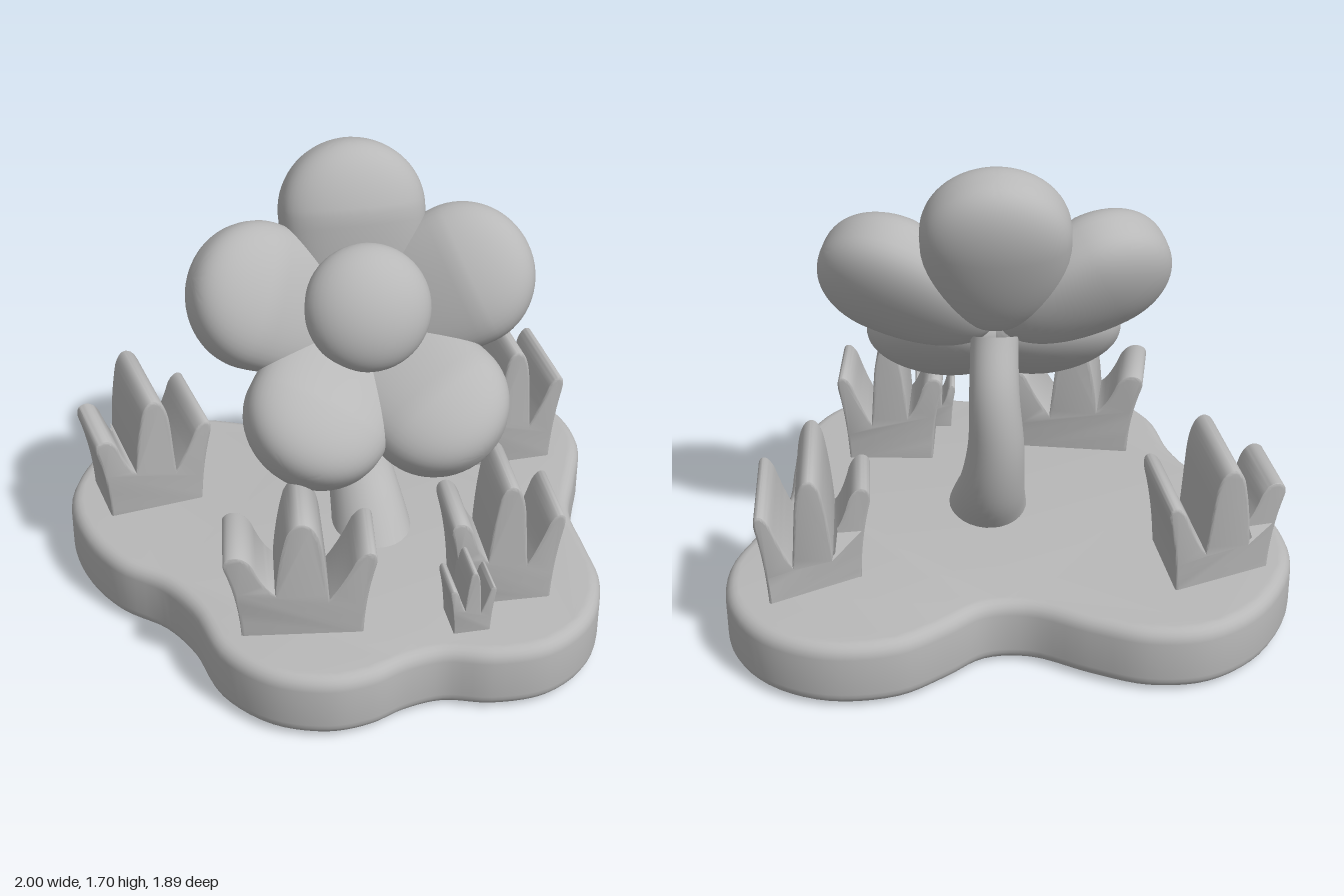
import * as THREE from 'three';
import { toCreasedNormals } from 'three/addons/utils/BufferGeometryUtils.js';

const clay = new THREE.MeshStandardMaterial({ color: 0xb8b8b8 });
clay.name = 'clay grey';

const BASE_TOP = 0.245;

function part(name, geometry, crease = 0.7) {
  const mesh = new THREE.Mesh(toCreasedNormals(geometry, crease), clay);
  mesh.name = name;
  return mesh;
}

// Apply a rule to every vertex of a geometry
function reshape(geometry, rule) {
  const p = geometry.attributes.position;
  const v = new THREE.Vector3();
  for (let i = 0; i < p.count; i++) {
    rule(v.fromBufferAttribute(p, i));
    p.setXYZ(i, v.x, v.y, v.z);
  }
  return geometry;
}

// Lobed ground slab with rounded rims
function makeBase() {
  const outline = [
    [-1, -0.2], [-0.91, -0.5], [-0.74, -0.67], [-0.53, -0.72], [-0.32, -0.68], [-0.1, -0.615],
    [0.05, -0.645], [0.16, -0.76], [0.31, -0.89], [0.55, -0.95], [0.78, -0.89], [0.94, -0.73],
    [1, -0.5], [0.95, -0.25], [0.9, -0.03], [0.93, 0.2], [0.95, 0.4], [0.88, 0.63],
    [0.72, 0.78], [0.52, 0.82], [0.35, 0.80], [0.22, 0.84], [0.1, 0.91], [-0.05, 0.945],
    [-0.25, 0.9], [-0.42, 0.75], [-0.52, 0.52], [-0.63, 0.37], [-0.8, 0.25], [-0.94, 0.05],
  ].map(([x, z]) => new THREE.Vector3(x, -z, 0));
  const curve = new THREE.CatmullRomCurve3(outline, true);
  const shape = new THREE.Shape(curve.getPoints(150).slice(0, -1).map((p) => new THREE.Vector2(p.x, p.y)));
  const bevel = 0.05;
  const geo = new THREE.ExtrudeGeometry(shape, {
    depth: BASE_TOP - 2 * bevel, bevelThickness: bevel, bevelSize: 0.045, bevelOffset: -0.045, bevelSegments: 5,
  });
  geo.rotateX(-Math.PI / 2).translate(0, bevel, 0);
  return part('base', geo);
}

// Curved stem, thick at the foot and thin at the flower
function makeStem() {
  const curve = new THREE.CatmullRomCurve3([
    [0.16, 0.09, 0.12], [0.135, 0.25, 0.01], [0.1, 0.42, -0.12], [0.075, 0.62, -0.18],
    [0.08, 0.83, -0.18], [0.09, 1.02, -0.1],
  ].map((p) => new THREE.Vector3(...p)));
  const rings = 32, sides = 28;
  const geo = new THREE.TubeGeometry(curve, rings, 1, sides);
  let i = 0;
  reshape(geo, (v) => {
    const t = Math.floor(i++ / (sides + 1)) / rings;
    const centre = curve.getPointAt(t);
    const radius = 0.085 + 0.085 * Math.pow(1 - t, 1.8);
    v.sub(centre).multiplyScalar(radius).add(centre);
  });
  return part('stem', geo, 1.2);
}

// Cupped flower head with five puffy petals around a domed centre
function makeFlower() {
  const flower = new THREE.Group();
  flower.name = 'flower';
  // Petals are full at the rim and dished towards the centre
  const petalGeo = reshape(new THREE.SphereGeometry(1, 48, 32), (v) => {
    const dish = v.z > 0 && v.y < 0 ? 1 + 0.6 * v.y : 1;
    v.x *= 0.26;
    v.y *= v.y > 0 ? 0.25 : 0.41;
    v.z = Math.sign(v.z) * Math.pow(Math.abs(v.z), 0.72) * 0.165 * dish - 0.015;
  });
  petalGeo.translate(0, 0.41, 0);
  for (const angle of [0, 72, 147, -147, -72]) {
    const petal = part('petal', petalGeo, 1.2);
    petal.rotation.set(0.33, 0, THREE.MathUtils.degToRad(angle), 'ZYX');
    flower.add(petal);
  }
  const centre = part('flowerCentre', new THREE.SphereGeometry(0.225, 40, 28).scale(1, 1, 0.64), 1.2);
  centre.position.set(0, 0.03, 0.187);
  centre.rotation.x = 0.17;
  flower.add(centre);
  flower.position.set(0.094, 1.06, -0.04);
  flower.lookAt(0.094 + 0.134, 1.06 + 0.6, -0.04 + 0.789);
  return flower;
}

// Three-bladed tuft, extruded front to back and flaring slightly upwards
function makeGrass([x, z, turn, width, height, depth, leftBack]) {
  const s = new THREE.Shape();
  s.moveTo(-0.21, -0.02);
  s.quadraticCurveTo(-0.215, 0.15, -0.265, 0.29);
  s.quadraticCurveTo(-0.28, 0.34, -0.23, 0.345);
  s.quadraticCurveTo(-0.19, 0.345, -0.165, 0.3);
  s.quadraticCurveTo(-0.13, 0.21, -0.09, 0.18);
  s.quadraticCurveTo(-0.08, 0.32, -0.05, 0.43);
  s.quadraticCurveTo(-0.02, 0.5, 0.03, 0.47);
  s.quadraticCurveTo(0.07, 0.44, 0.08, 0.33);
  s.quadraticCurveTo(0.09, 0.24, 0.1, 0.15);
  s.quadraticCurveTo(0.15, 0.22, 0.19, 0.31);
  s.quadraticCurveTo(0.22, 0.355, 0.25, 0.345);
  s.quadraticCurveTo(0.275, 0.335, 0.26, 0.28);
  s.quadraticCurveTo(0.225, 0.15, 0.22, -0.02);
  const bevel = 0.012;
  const geo = new THREE.ExtrudeGeometry(s, {
    depth: 1 - 2 * bevel, bevelThickness: bevel * 2, bevelSize: bevel, bevelOffset: -bevel,
    bevelSegments: 3, curveSegments: 8,
  });
  geo.translate(0, 0, -0.5 + bevel);
  // The left blade may reach less far back than the others
  reshape(geo, (v) => {
    if (v.z < 0 && v.x < -0.1) v.z *= leftBack;
    v.z *= depth * (0.86 + 0.35 * v.y);
    v.x *= width;
    v.y *= height;
  });
  const grass = part('grassTuft', geo, 0.6);
  grass.position.set(x, BASE_TOP, z);
  grass.rotation.y = turn;
  return grass;
}

export function createModel() {
  const model = new THREE.Group();
  model.name = 'flowerOnBase';
  model.add(makeBase(), makeStem(), makeFlower());
  // x, z, turn, width factor, height factor, depth, left blade's rear reach
  const tufts = [
    [-0.14, 0.57, 0.02, 0.98, 1, 0.27, 1],
    [-0.72, -0.245, 0.32, 0.83, 1.02, 0.38, 0.5],
    [0.67, -0.52, 0.2, 0.74, 1.07, 0.4, 0.2],
    [0.57, 0.41, 0.12, 0.75, 1.05, 0.28, 1],
    [0.44, 0.625, 0.16, 0.3, 0.55, 0.17, 1],
  ];
  for (const t of tufts) model.add(makeGrass(t));
  return model;
}
